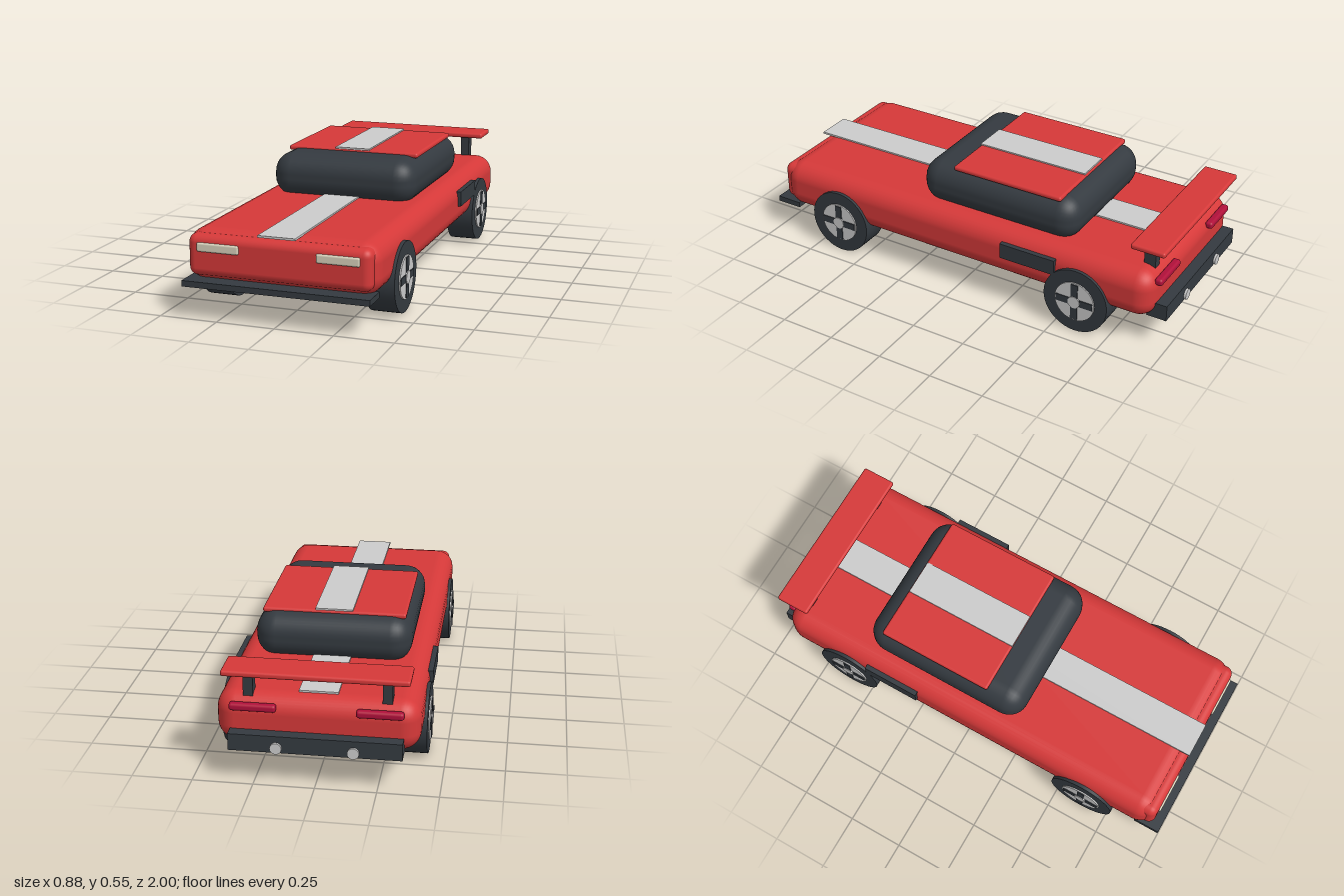
import * as THREE from 'three';
import { RoundedBoxGeometry } from 'three/addons/geometries/RoundedBoxGeometry.js';

const paint = (name, color) => {
  const m = new THREE.MeshStandardMaterial({ color });
  m.name = name;
  return m;
};

export function createModel() {
  const red = paint('body red', 0xd63939);
  const dark = paint('charcoal', 0x343a40);
  const silver = paint('silver', 0xcccccc);
  const cream = paint('headlight cream', 0xd8d2bc);
  const crimson = paint('taillight crimson', 0xb0103a);

  const car = new THREE.Group();
  car.name = 'sportsCar';

  const add = (name, geometry, material, x = 0, y = 0, z = 0, parent = car) => {
    const mesh = new THREE.Mesh(geometry, material);
    mesh.name = name;
    mesh.position.set(x, y, z);
    parent.add(mesh);
    return mesh;
  };
  // Box given by its limits on each axis; a radius rounds its edges
  const block = (name, material, [x0, x1], [y0, y1], [z0, z1], radius = 0) => {
    const size = [x1 - x0, y1 - y0, z1 - z0];
    const geometry = radius
      ? new RoundedBoxGeometry(...size, 4, radius)
      : new THREE.BoxGeometry(...size);
    return add(name, geometry, material, (x0 + x1) / 2, (y0 + y1) / 2, (z0 + z1) / 2);
  };
  // The same box on the left (+x) and the right (-x)
  const pair = (name, material, [x0, x1], ys, zs, radius) => {
    block(name + 'Left', material, [x0, x1], ys, zs, radius);
    block(name + 'Right', material, [-x1, -x0], ys, zs, radius);
  };

  // Body shell and nose
  block('body', red, [-0.413, 0.413], [0.14, 0.36], [-0.94, 0.95], 0.08);
  block('nose', red, [-0.392, 0.392], [0.17, 0.345], [0.62, 0.96], 0.035);

  // Cabin and roof panel
  block('cabin', dark, [-0.332, 0.332], [0.335, 0.537], [-0.537, 0.238], 0.09);
  block('roof', red, [-0.305, 0.305], [0.524, 0.547], [-0.46, 0.07], 0.01);

  // Racing stripes
  block('bodyStripe', silver, [-0.08, 0.08], [0.358, 0.367], [-0.87, 0.965]);
  block('roofStripe', silver, [-0.08, 0.08], [0.545, 0.553], [-0.455, 0.07]);

  // Front splitter, rear bumper, side vents
  block('splitter', dark, [-0.4, 0.4], [0.135, 0.16], [0.88, 1]);
  block('rearBumper', dark, [-0.35, 0.35], [0.143, 0.215], [-0.99, -0.9]);
  pair('sideVent', dark, [0.39, 0.427], [0.245, 0.315], [-0.5, -0.235]);

  // Lights
  pair('headlight', cream, [0.165, 0.347], [0.276, 0.314], [0.94, 0.968], 0.008);
  pair('taillight', crimson, [0.16, 0.35], [0.3, 0.332], [-0.96, -0.925], 0.012);

  // Rear wing on two posts
  block('wing', red, [-0.375, 0.375], [0.455, 0.48], [-0.975, -0.82], 0.01);
  pair('wingPost', dark, [0.26, 0.3], [0.34, 0.46], [-0.905, -0.853]);

  // Exhaust pipes
  for (const x of [-0.155, 0.155]) {
    const pipe = new THREE.CylinderGeometry(0.024, 0.024, 0.08, 20).rotateX(Math.PI / 2);
    add('exhaust', pipe, silver, x, 0.165, -0.96);
  }

  // Wheels: tyre, rim disc, crossed bars and hub
  const disc = (r, width, sides) =>
    new THREE.CylinderGeometry(r, r, width, sides).rotateZ(Math.PI / 2);
  const tyre = disc(0.15, 0.126, 40);
  const rim = disc(0.093, 0.138, 32);
  const hub = disc(0.028, 0.152, 20);
  const bar = new THREE.BoxGeometry(0.146, 0.172, 0.032);
  for (const [end, z] of [['front', 0.622], ['rear', -0.604]]) {
    for (const side of [1, -1]) {
      const wheel = new THREE.Group();
      wheel.name = end + 'Wheel' + (side > 0 ? 'Left' : 'Right');
      wheel.position.set(side * 0.363, 0.15, z);
      add('tyre', tyre, dark, 0, 0, 0, wheel);
      add('rim', rim, silver, 0, 0, 0, wheel);
      add('uprightBar', bar, dark, 0, 0, 0, wheel);
      add('levelBar', bar, dark, 0, 0, 0, wheel).rotation.x = Math.PI / 2;
      add('hub', hub, silver, 0, 0, 0, wheel);
      car.add(wheel);
    }
  }
  return car;
}
